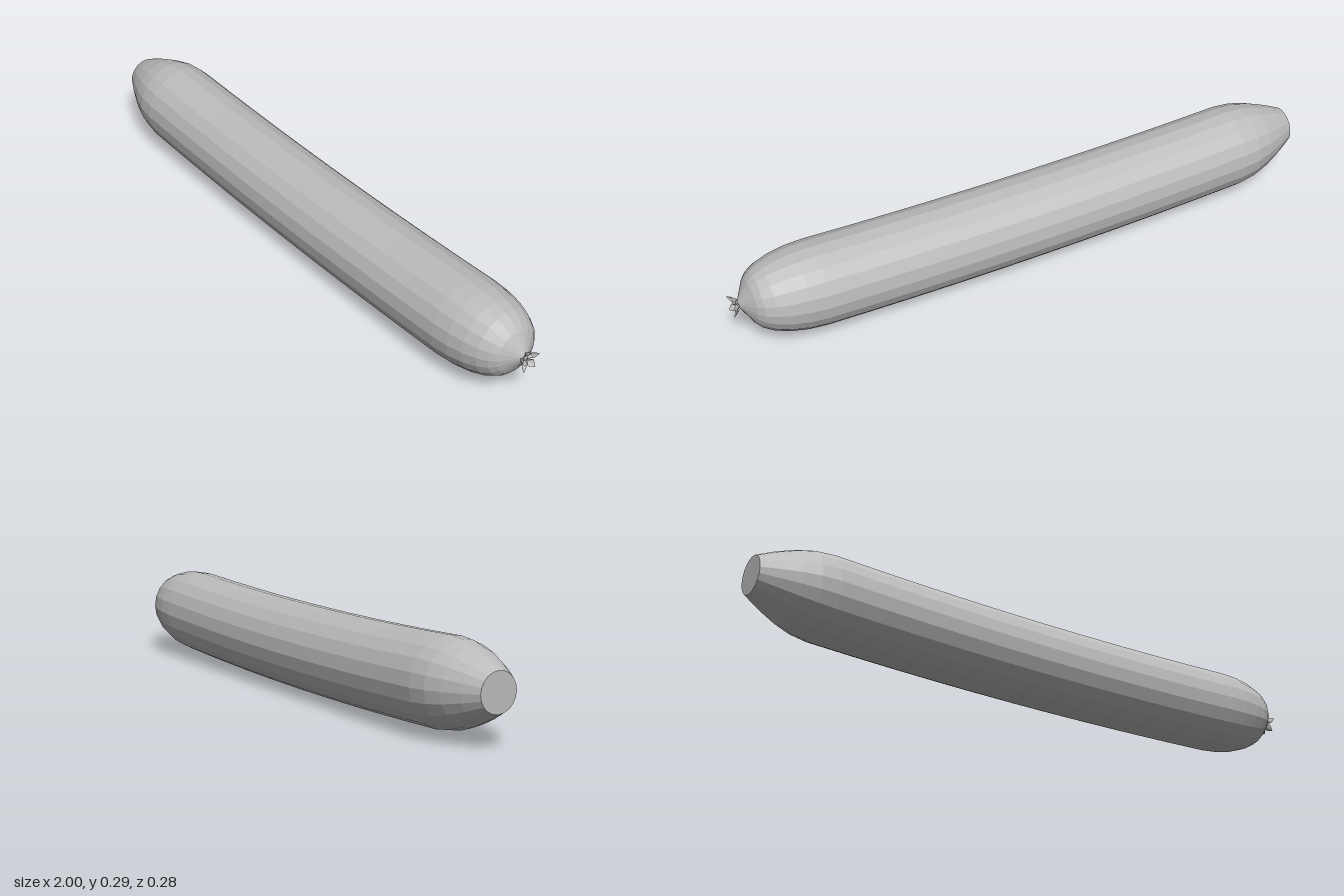
import * as THREE from 'three';

const SIDES = 20;

// Height of the sagging centre line at a given x
const centreY = (x) => 0.1385 + 0.029 * x * x;

function faceted(geometry) {
  const g = geometry.index ? geometry.toNonIndexed() : geometry;
  g.computeVertexNormals();
  return g;
}

// Long body: a lathe laid along x, then bent along the centre line
function bodyGeometry() {
  const profile = [[0, -1], [0.062, -1], [0.09, -0.945], [0.115, -0.885], [0.131, -0.83], [0.138, -0.77]];
  for (let i = 1; i < 10; i++) profile.push([0.138, -0.77 + 0.15 * i]);
  profile.push([0.138, 0.73], [0.134, 0.79], [0.124, 0.845], [0.109, 0.89], [0.091, 0.922], [0.072, 0.94], [0.008, 0.977], [0, 0.977]);
  const g = new THREE.LatheGeometry(profile.map(([r, x]) => new THREE.Vector2(r, x)), SIDES);
  g.rotateZ(-Math.PI / 2);
  const p = g.attributes.position;
  for (let i = 0; i < p.count; i++) p.setY(i, p.getY(i) + centreY(p.getX(i)));
  return faceted(g);
}

// Pointed petal folded along its midrib, growing up y and flaring out to +x
function petalGeometry() {
  const rib = [[0, 0.002, 0], [0.004, 0.02, 0], [0.026, 0.038, 0]];
  const edge = [[0.011, 0.011, 0.007], [0.015, 0.021, 0.0125], [0.02, 0.03, 0.008]];
  const verts = [];
  for (const s of [1, -1]) {
    const e = edge.map(([x, y, z]) => [x, y, s * z]);
    const tris = [[rib[0], rib[1], e[0]], [rib[1], e[1], e[0]], [rib[1], e[2], e[1]], [rib[1], rib[2], e[2]]];
    for (const [a, b, c] of tris) verts.push(...a, ...(s > 0 ? b : c), ...(s > 0 ? c : b));
  }
  const g = new THREE.BufferGeometry();
  g.setAttribute('position', new THREE.Float32BufferAttribute(verts, 3));
  return faceted(g);
}

export function createModel() {
  const skin = new THREE.MeshStandardMaterial({ color: 0xbbbbbb, side: THREE.DoubleSide });
  skin.name = 'plain grey';

  const model = new THREE.Group();
  model.name = 'vegetable';

  const body = new THREE.Mesh(bodyGeometry(), skin);
  body.name = 'body';
  model.add(body);

  // Small five-petalled blossom at the +x tip
  const blossom = new THREE.Group();
  blossom.name = 'blossom';
  blossom.position.set(0.974, centreY(0.974), 0);
  const petal = petalGeometry();
  for (let i = 0; i < 5; i++) {
    const mesh = new THREE.Mesh(petal, skin);
    mesh.name = 'petal';
    mesh.rotation.x = (i * 2 * Math.PI) / 5;
    blossom.add(mesh);
  }
  const bud = new THREE.Mesh(faceted(new THREE.SphereGeometry(0.008, 8, 6)), skin);
  bud.name = 'bud';
  bud.position.x = 0.004;
  blossom.add(bud);
  model.add(blossom);

  return model;
}
